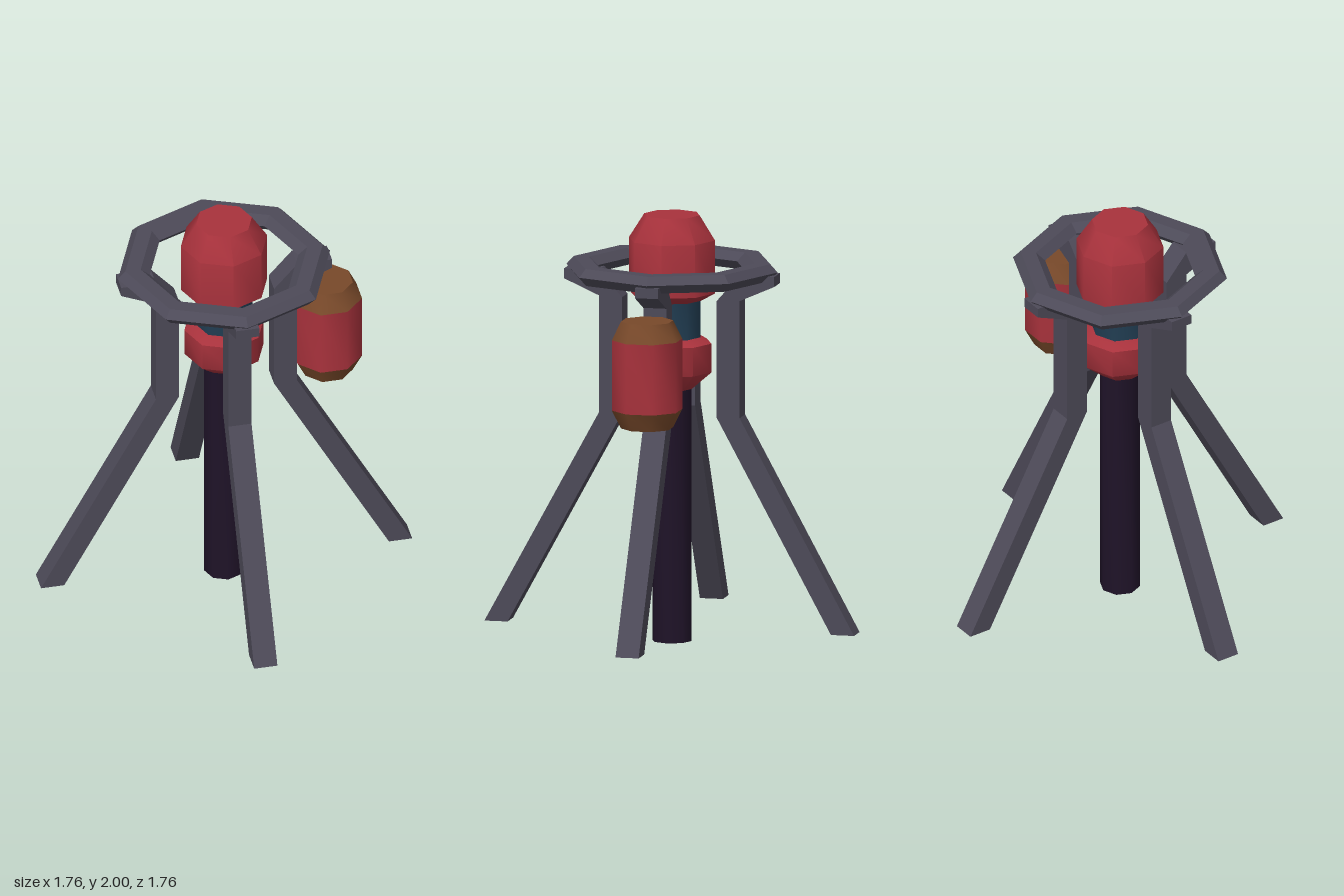
import * as THREE from 'three';
import { toCreasedNormals } from 'three/addons/utils/BufferGeometryUtils.js';

const mat = (color, flatShading = false) => new THREE.MeshStandardMaterial({ color, flatShading });
const red = mat(0xa8323c), brown = mat(0x78492a), blue = mat(0x213d52);
const dark = mat(0x1f1328), steel = mat(0x4d4a58, true);

// Eight-sided turned part; the profile lists [radius, y] from bottom to top.
function turned(name, profile, material, phase = 0) {
  const points = profile.map(([r, y]) => new THREE.Vector2(r, y));
  const lathe = new THREE.LatheGeometry(points, 8, phase);
  const mesh = new THREE.Mesh(material.flatShading ? lathe : toCreasedNormals(lathe, 0.9), material);
  mesh.name = name;
  return mesh;
}

// Leg outline, swept out at the foot and flared under the ring.
function legGeometry() {
  const outline = [[0.77, 0.065], [0.88, 0.065], [0.335, 1.065], [0.335, 1.615], [0.5, 1.688],
    [0.5, 1.735], [0.335, 1.735], [0.225, 1.61], [0.225, 1.065]];
  const shape = new THREE.Shape(outline.map(([x, y]) => new THREE.Vector2(x, y)));
  const width = 0.11;
  return new THREE.ExtrudeGeometry(shape, { depth: width, bevelEnabled: false }).translate(0, 0, -width / 2);
}

export function createModel() {
  const model = new THREE.Group();
  model.name = 'tripodDevice';

  // Central column, from the ground up
  model.add(
    turned('centralPole', [[0, 0], [0.094, 0], [0.094, 1.2], [0, 1.2]], dark),
    turned('lowerCollar', [[0, 1.18], [0.09, 1.18], [0.188, 1.265], [0.188, 1.4], [0.14, 1.428], [0, 1.428]], red),
    turned('neck', [[0, 1.4], [0.136, 1.4], [0.136, 1.63], [0, 1.63]], blue),
    turned('topTank', [[0, 1.6], [0.14, 1.6], [0.205, 1.637], [0.205, 1.885], [0.132, 2], [0, 2]], red),
  );

  // Octagonal ring with a six-sided section
  model.add(turned('ring', [[0.39, 1.705], [0.465, 1.705], [0.503, 1.747], [0.468, 1.785],
    [0.395, 1.785], [0.352, 1.747], [0.39, 1.705]], steel));

  // Four legs
  const geometry = legGeometry();
  for (let i = 0; i < 4; i++) {
    const leg = new THREE.Mesh(geometry, steel);
    leg.name = `leg${i + 1}`;
    leg.rotation.y = i * Math.PI / 2;
    model.add(leg);
  }

  // Side canister on the left leg
  const canister = new THREE.Group();
  canister.name = 'sideCanister';
  canister.position.x = 0.488;
  const phase = Math.PI / 8, R = 0.165, r = 0.122;
  canister.add(
    turned('canisterBottom', [[0, 1.08], [r, 1.08], [R, 1.165]], brown, phase),
    turned('canisterBody', [[R, 1.165], [R, 1.495]], red, phase),
    turned('canisterTop', [[R, 1.495], [r, 1.582], [0, 1.582]], brown, phase),
  );
  model.add(canister);
  return model;
}
